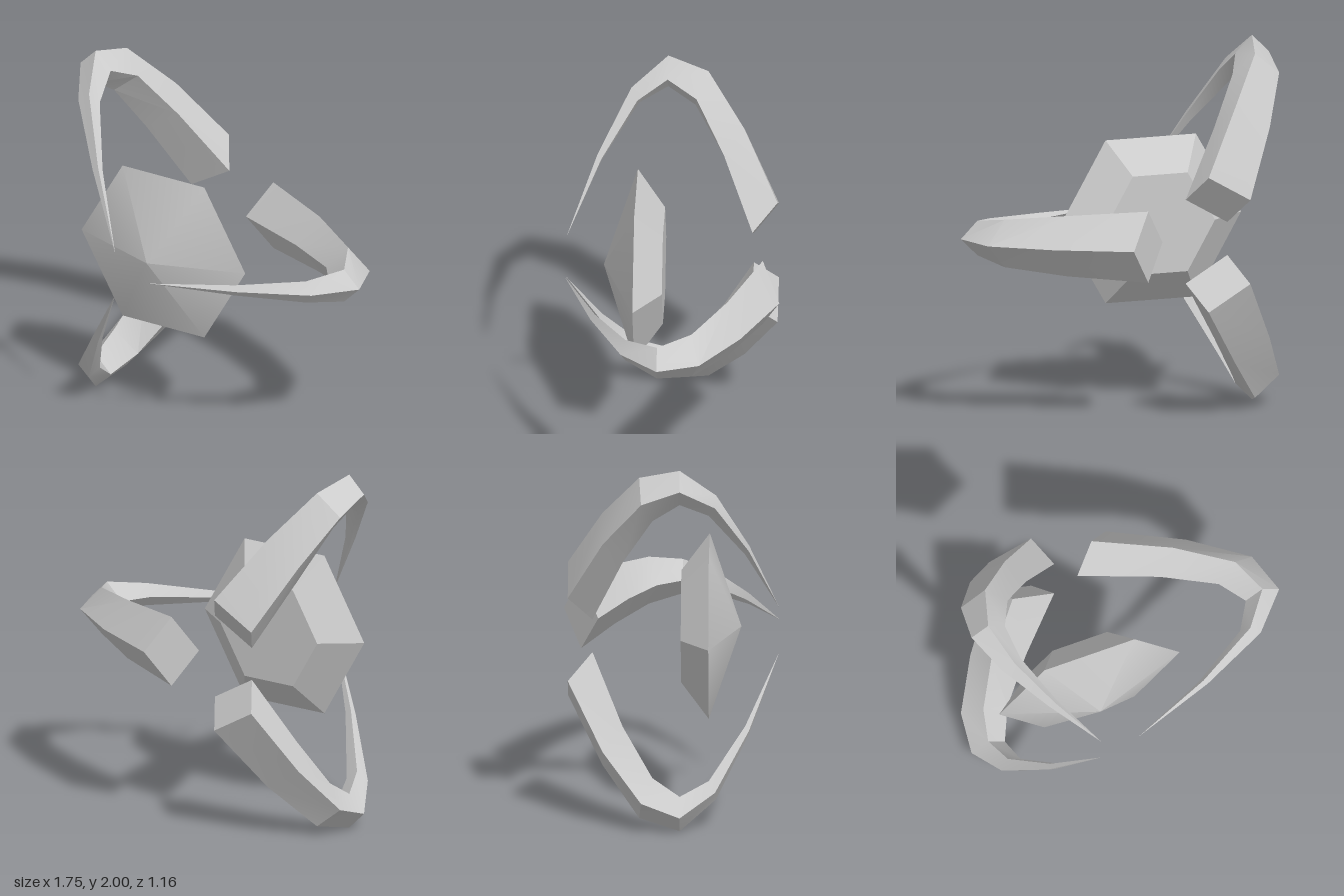
import * as THREE from 'three';
import { toCreasedNormals } from 'three/addons/utils/BufferGeometryUtils.js';

const CENTRE_X = -0.265, CENTRE_Y = 1, CREASE = 0.5;

// Claw sections: radius, z, half depth (radial part, z part), half width
const SECTIONS = [
  [0.265, -0.49, 0.115, -0.093, 0.195],
  [0.665, -0.315, 0.103, -0.075, 0.165],
  [0.955, -0.135, 0.11, -0.043, 0.13],
  [1.043, 0.047, 0.095, 0, 0.095],
  [0.91, 0.222, 0.05, 0.024, 0.063],
  [0.575, 0.406, 0.02, 0.014, 0.03],
  [0.14, 0.577, 0, 0, 0],
];

// Curved four-sided claw that tapers to a point, set at an angle around the gem
function clawGeometry(angle) {
  const c = Math.cos(angle), s = Math.sin(angle);
  const positions = [], index = [];
  for (const [r, z, depth, lift, width] of SECTIONS) {
    // roll each section so that one diagonal stays level
    const roll = width ? Math.atan2(-s * depth, c * width) : 0;
    for (let k = 0; k < 4; k++) {
      const p = Math.cos(roll + k * Math.PI / 2), q = Math.sin(roll + k * Math.PI / 2);
      const u = r + depth * p, v = width * q;
      positions.push(u * c - v * s, u * s + v * c, z + lift * p);
    }
  }
  const last = SECTIONS.length - 2;
  for (let i = 0; i <= last; i++) {
    for (let k = 0; k < 4; k++) {
      const a = i * 4 + k, b = i * 4 + (k + 1) % 4;
      index.push(a, b, a + 4);
      if (i < last) index.push(b, b + 4, a + 4);
    }
  }
  index.push(0, 3, 2, 0, 2, 1); // blunt back end
  const g = new THREE.BufferGeometry();
  g.setAttribute('position', new THREE.Float32BufferAttribute(positions, 3));
  g.setIndex(index);
  return toCreasedNormals(g, CREASE);
}

// Six-sided gem: flat back, bevelled side, shallow pointed front
function gemGeometry() {
  const profile = [[0, 0.05], [0.312, 0.05], [0.515, 0.2], [0, 0.372]]
    .map(([r, z]) => new THREE.Vector2(r, z));
  const g = new THREE.LatheGeometry(profile, 6, Math.PI / 2);
  g.rotateX(Math.PI / 2);
  return toCreasedNormals(g, CREASE);
}

export function createModel() {
  const group = new THREE.Group();
  group.name = 'clawedGem';
  const grey = new THREE.MeshStandardMaterial({ color: 0xcccccc });
  grey.name = 'grey';

  const add = (name, geometry) => {
    const mesh = new THREE.Mesh(geometry, grey);
    mesh.name = name;
    mesh.position.set(CENTRE_X, CENTRE_Y, 0);
    group.add(mesh);
  };

  add('gem', gemGeometry());
  ['leftClaw', 'upperRightClaw', 'lowerRightClaw'].forEach((name, i) =>
    add(name, clawGeometry(i * Math.PI * 2 / 3)));
  return group;
}
